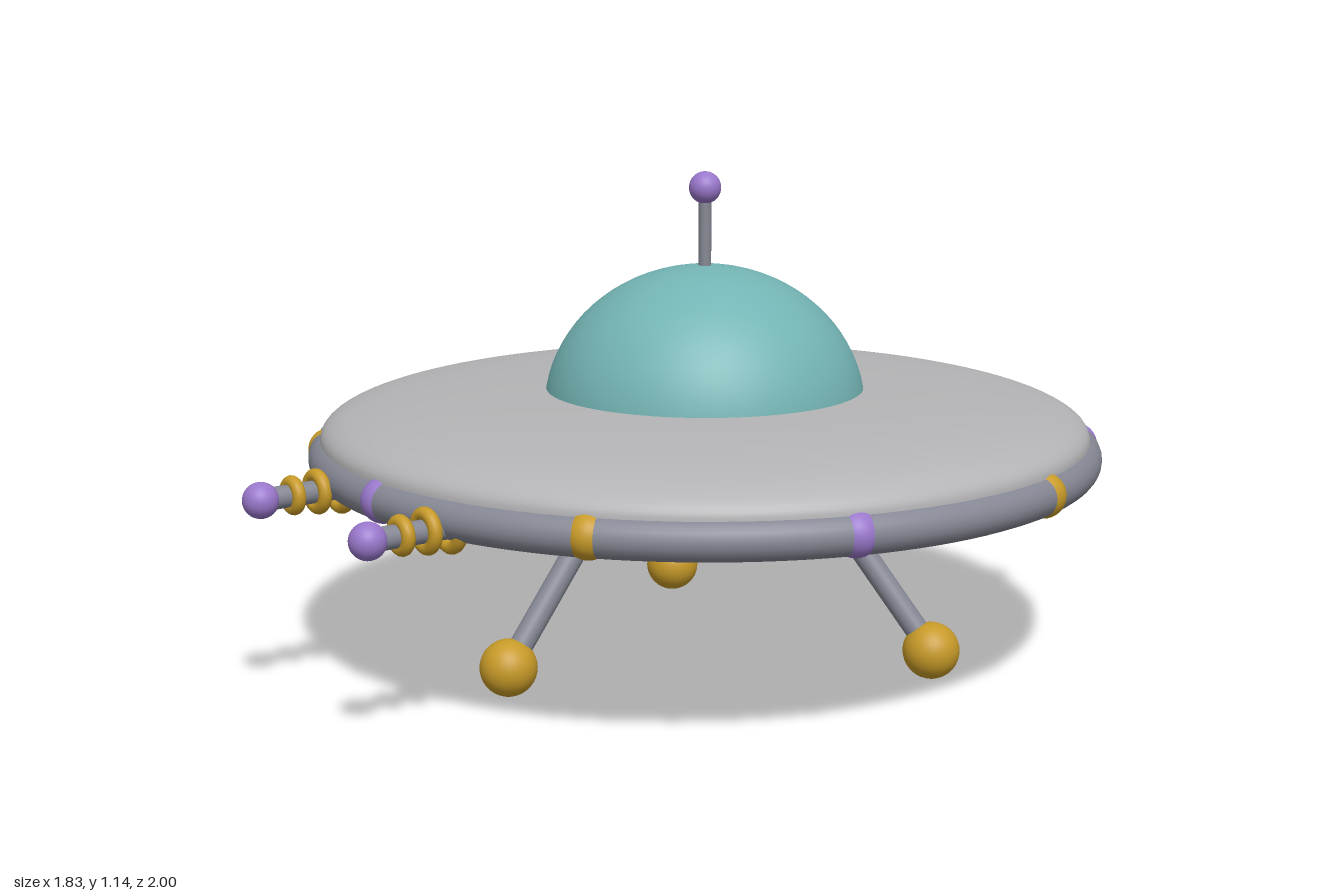
import * as THREE from 'three';

const paint = (color) => new THREE.MeshStandardMaterial({ color });
const UP = new THREE.Vector3(0, 1, 0);

export function createModel() {
  const root = new THREE.Group();
  root.name = 'flyingSaucer';
  const hullGrey = paint(0xb4b4b6), metal = paint(0x858894), teal = paint(0x74b4b4);
  const purple = paint(0x9a78cc), gold = paint(0xc79a28), black = paint(0x141414);

  const add = (parent, name, geometry, material, x = 0, y = 0, z = 0) => {
    const mesh = new THREE.Mesh(geometry, material);
    mesh.name = name;
    mesh.position.set(x, y, z);
    parent.add(mesh);
    return mesh;
  };
  const ball = (r) => new THREE.SphereGeometry(r, 32, 20);
  // Round bar between two points
  const bar = (parent, name, a, b, rA, rB, material) => {
    const dir = b.clone().sub(a);
    const mesh = add(parent, name, new THREE.CylinderGeometry(rB, rA, dir.length(), 28), material);
    mesh.position.copy(a).add(b).multiplyScalar(0.5);
    mesh.quaternion.setFromUnitVectors(UP, dir.normalize());
  };

  // Everything round sits on the saucer axis
  const saucer = new THREE.Group();
  saucer.name = 'saucer';
  saucer.position.z = -0.082;
  root.add(saucer);

  // Full-shouldered lens hull: superellipse section, bottom to top
  const section = [];
  for (let i = 0; i <= 48; i++) {
    const t = -Math.PI / 2 + (i * Math.PI) / 48;
    const c = Math.max(0, Math.cos(t)), s = Math.sin(t);
    section.push(new THREE.Vector2(
      0.887 * Math.pow(c, 2 / 2.9),
      0.525 + 0.117 * Math.sign(s) * Math.pow(Math.abs(s), 2 / 2.9)));
  }
  add(saucer, 'hull', new THREE.LatheGeometry(section, 96), hullGrey);

  // Full-height cabin bubble
  add(saucer, 'cabinDome', new THREE.SphereGeometry(1, 64, 40), teal, 0, 0.584, 0).scale.set(0.372, 0.338, 0.372);

  // Rim tube with alternating lamps
  const rimR = 0.869, rimY = 0.495;
  add(saucer, 'rim', new THREE.TorusGeometry(rimR, 0.045, 24, 128), metal, 0, rimY, 0).rotation.x = Math.PI / 2;
  for (let i = 0; i < 10; i++) {
    const a = (i * Math.PI) / 5;
    add(saucer, 'rimLamp', ball(0.05), i % 2 ? gold : purple, rimR * Math.sin(a), rimY, rimR * Math.cos(a));
  }

  // Ring under the cabin
  add(saucer, 'bellyRing', new THREE.TorusGeometry(0.218, 0.02, 16, 72), purple, 0, 0.305, 0).rotation.x = Math.PI / 2;

  // Antenna
  bar(saucer, 'antennaRod', new THREE.Vector3(0, 0.88, 0), new THREE.Vector3(0, 1.09, 0), 0.0145, 0.0145, metal);
  add(saucer, 'antennaBall', ball(0.037), purple, 0, 1.1, 0);

  // Three splayed legs with ball feet
  for (let i = 0; i < 3; i++) {
    const a = (i * 2 * Math.PI) / 3;
    const at = (r, y) => new THREE.Vector3(r * Math.sin(a), y, r * Math.cos(a));
    bar(saucer, 'leg', at(0.557, 0.065), at(0.258, 0.452), 0.027, 0.027, metal);
    add(saucer, 'foot', ball(0.065), gold).position.copy(at(0.557, 0.065));
  }

  for (const s of [-1, 1]) {
    // Front blaster: rod, shrinking coils and ball tip
    const blaster = new THREE.Group();
    blaster.name = s > 0 ? 'leftBlaster' : 'rightBlaster';
    blaster.position.set(s * 0.222, 0.478, 0);
    root.add(blaster);
    bar(blaster, 'blasterRod', new THREE.Vector3(0, 0, 0.7), new THREE.Vector3(0, 0, 0.95), 0.025, 0.025, metal);
    [[0.765, 0.043], [0.822, 0.036], [0.882, 0.029]].forEach(([z, r]) =>
      add(blaster, 'blasterCoil', new THREE.TorusGeometry(r, 0.015, 14, 36), gold, 0, 0, z));
    add(blaster, 'blasterTip', ball(0.04), purple, 0, 0, 0.96);

    // Rear thruster: flared nozzle tilted upward, with a dark mouth
    const thruster = new THREE.Group();
    thruster.name = s > 0 ? 'leftThruster' : 'rightThruster';
    thruster.position.set(s * 0.272, 0.498, -0.948);
    thruster.rotation.x = -1.1;
    root.add(thruster);
    add(thruster, 'thrusterNozzle', new THREE.CylinderGeometry(0.05, 0.028, 0.12, 32), metal, 0, -0.06, 0);
    add(thruster, 'thrusterMouth', new THREE.CylinderGeometry(0.045, 0.045, 0.02, 32), black, 0, 0.002, 0);
  }
  return root;
}
